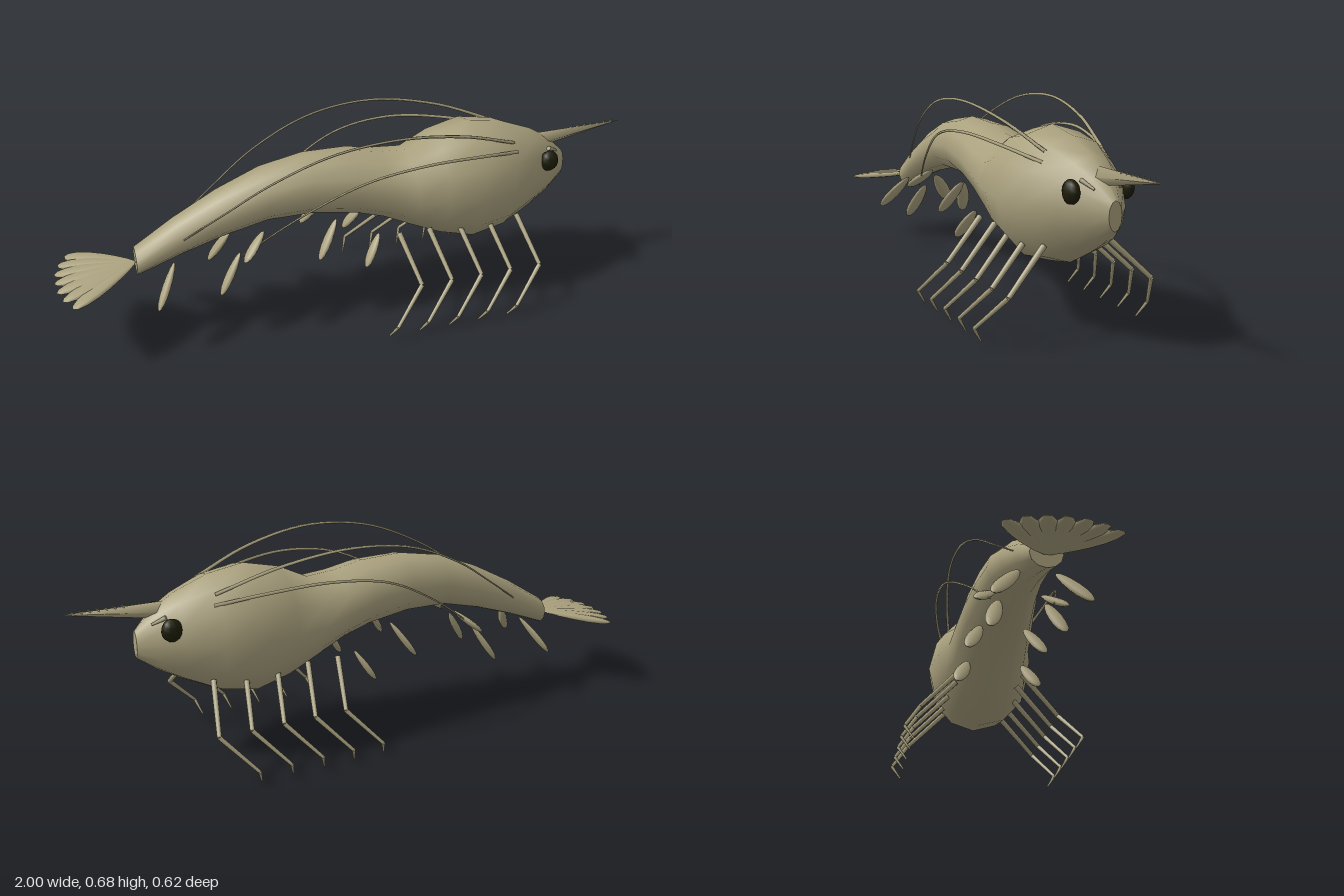
import * as THREE from 'three';

const V = (x, y, z) => new THREE.Vector3(x, y, z);

export function createModel() {
  const root = new THREE.Group();
  const shell = new THREE.MeshStandardMaterial({ color: 0xaaa17e, side: THREE.DoubleSide });
  shell.name = 'shell';
  const eyeDark = new THREE.MeshStandardMaterial({ color: 0x1e1d08 });
  eyeDark.name = 'eyeDark';

  const add = (name, geo, mat = shell) => {
    const m = new THREE.Mesh(geo, mat);
    m.name = name;
    root.add(m);
    return m;
  };

  // Straight tapered limb between two points
  const limb = (name, a, b, ra, rb, sides = 6) => {
    const d = b.clone().sub(a);
    const m = add(name, new THREE.CylinderGeometry(rb, ra, d.length(), sides));
    m.position.copy(a).addScaledVector(d, 0.5);
    m.quaternion.setFromUnitVectors(V(0, 1, 0), d.normalize());
    return m;
  };

  // Flat petal from a to b, widening towards b
  const petal = (name, a, b, width, thick, flare) => {
    const d = b.clone().sub(a), len = d.length();
    const geo = new THREE.SphereGeometry(1, 8, 8);
    const p = geo.attributes.position;
    for (let i = 0; i < p.count; i++) {
      const k = 1 + flare * p.getY(i);
      p.setXYZ(i, p.getX(i) * k * thick / 2, p.getY(i) * len / 2, p.getZ(i) * k * width / 2);
    }
    geo.computeVertexNormals();
    d.normalize();
    const w = V(0, 0, 1).addScaledVector(d, -d.z).normalize();
    const n = d.clone().cross(w);
    const m = add(name, geo);
    m.quaternion.setFromRotationMatrix(new THREE.Matrix4().makeBasis(n, d, w));
    m.position.copy(a).add(b).multiplyScalar(0.5);
  };

  // Tapered whip along a spline
  const whip = (name, pts, r) => {
    const curve = new THREE.CatmullRomCurve3(pts), n = 32, sides = 5;
    const geo = new THREE.TubeGeometry(curve, n, r, sides);
    const p = geo.attributes.position, v = V(0, 0, 0);
    for (let i = 0; i <= n; i++) {
      const c = curve.getPointAt(i / n);
      for (let j = 0; j <= sides; j++) {
        const k = i * (sides + 1) + j;
        v.fromBufferAttribute(p, k).sub(c).multiplyScalar(1 - 0.6 * i / n).add(c);
        p.setXYZ(k, v.x, v.y, v.z);
      }
    }
    add(name, geo);
  };

  // Body sections: x, top y, bottom y, half width
  const sections = [
    [-0.735, 0.335, 0.243, 0.05], [-0.6, 0.42, 0.295, 0.065], [-0.45, 0.5, 0.345, 0.08],
    [-0.3, 0.56, 0.383, 0.096], [-0.15, 0.588, 0.386, 0.108], [0, 0.583, 0.365, 0.125],
    [0.1, 0.563, 0.335, 0.135], [0.2, 0.555, 0.285, 0.145], [0.3, 0.605, 0.238, 0.17],
    [0.42, 0.634, 0.205, 0.189], [0.54, 0.615, 0.228, 0.168], [0.65, 0.572, 0.283, 0.115],
    [0.72, 0.53, 0.325, 0.075], [0.785, 0.465, 0.375, 0.022],
  ];
  const N = 12, pos = [], idx = [];
  for (const [x, t, b, w] of sections)
    for (let j = 0; j < N; j++) {
      const a = j / N * Math.PI * 2;
      pos.push(x, (t + b) / 2 + Math.cos(a) * (t - b) / 2, Math.sin(a) * w);
    }
  for (let i = 0; i < sections.length - 1; i++)
    for (let j = 0; j < N; j++) {
      const a = i * N + j, b = i * N + (j + 1) % N;
      idx.push(a, b, a + N, b, b + N, a + N);
    }
  const body = new THREE.BufferGeometry();
  body.setAttribute('position', new THREE.Float32BufferAttribute(pos, 3));
  body.setIndex(idx);
  body.computeVertexNormals();
  // Orient outward: the top vertex normal must point up
  if (body.attributes.normal.getY(9 * N) < 0) {
    body.setIndex(idx.reverse());
    body.computeVertexNormals();
  }
  add('body', body);

  // End caps of the body
  for (const [name, s, turn] of [['tailCap', sections[0], -1], ['snoutCap', sections[sections.length - 1], 1]]) {
    const cap = add(name, new THREE.CircleGeometry(1, N));
    cap.rotation.y = turn * Math.PI / 2;
    cap.scale.set(s[3], (s[1] - s[2]) / 2, 1);
    cap.position.set(s[0], (s[1] + s[2]) / 2, 0);
  }

  // Rostrum spike with a row of teeth
  const base = V(0.68, 0.518, 0), tip = V(1, 0.551, 0);
  limb('rostrum', base, tip, 0.03, 0.001, 4);
  for (let i = 0; i < 7; i++) {
    const f = 0.42 + i * 0.08;
    const c = base.clone().lerp(tip, f);
    c.y += 0.03 * (1 - f);
    limb('rostrumTooth', c.clone().add(V(-0.004, -0.004, 0)), c.clone().add(V(0.008, 0.009, 0)), 0.005, 0.0005, 4);
  }

  // Swimming paddles: root and tip on the left side
  const paddles = [
    [V(0.075, 0.305, 0.095), V(0.015, 0.205, 0.14)],
    [V(-0.07, 0.375, 0.075), V(-0.145, 0.258, 0.13)],
    [V(-0.32, 0.375, 0.08), V(-0.4, 0.305, 0.145)],
    [V(-0.4, 0.305, 0.075), V(-0.48, 0.175, 0.115)],
    [V(-0.615, 0.295, 0.055), V(-0.69, 0.175, 0.145)],
  ];

  for (const s of [1, -1]) {
    const side = (v) => V(v.x, v.y, v.z * s);

    // Eyes on short stalks
    const eye = add('eye', new THREE.SphereGeometry(1, 10, 8), eyeDark);
    eye.scale.set(0.034, 0.037, 0.025);
    eye.position.set(0.692, 0.481, 0.09 * s);
    limb('eyeStalk', V(0.65, 0.48, 0.05 * s), V(0.69, 0.481, 0.085 * s), 0.014, 0.014);
    limb('antennule', V(0.7, 0.515, 0.064 * s), V(0.74, 0.492, 0.043 * s), 0.008, 0.004);

    // Long antennae sweeping back
    whip('upperAntenna', [
      V(0.55, 0.575, 0.095), V(0.35, 0.645, 0.135), V(0.12, 0.68, 0.16), V(-0.1, 0.655, 0.155),
      V(-0.3, 0.57, 0.132), V(-0.45, 0.47, 0.1), V(-0.58, 0.378, 0.065),
    ].map(side), 0.006);
    whip('lowerAntenna', [
      V(0.56, 0.545, 0.11), V(0.4, 0.575, 0.16), V(0.2, 0.591, 0.195), V(0, 0.56, 0.193),
      V(-0.2, 0.455, 0.155), V(-0.4, 0.307, 0.1),
    ].map(side), 0.006);

    // Five jointed walking legs
    for (let i = 0; i < 5; i++) {
      const x = 0.057 + i * 0.108;
      const joints = [V(x + 0.085, 0.3, 0.11), V(x + 0.122, 0.168, 0.245),
        V(x + 0.018, 0.055, 0.305), V(x, 0.006, 0.275)].map(side);
      const radii = [0.01, 0.008, 0.006, 0.003];
      for (let k = 0; k < 3; k++)
        limb('walkingLeg', joints[k], joints[k + 1], radii[k], radii[k + 1]);
    }

    for (const [a, b] of paddles) petal('paddle', side(a), side(b), 0.05, 0.022, 0.15);
  }

  // Tail fan
  for (let i = -3; i <= 3; i++) {
    const a = i * 0.215, len = 0.26 + Math.abs(i) * 0.003;
    petal('tailFanBlade', V(-0.735, 0.285, 0),
      V(-0.74 - Math.cos(a) * len, 0.25, Math.sin(a) * len), 0.062, 0.022, 0.35);
  }
  return root;
}
